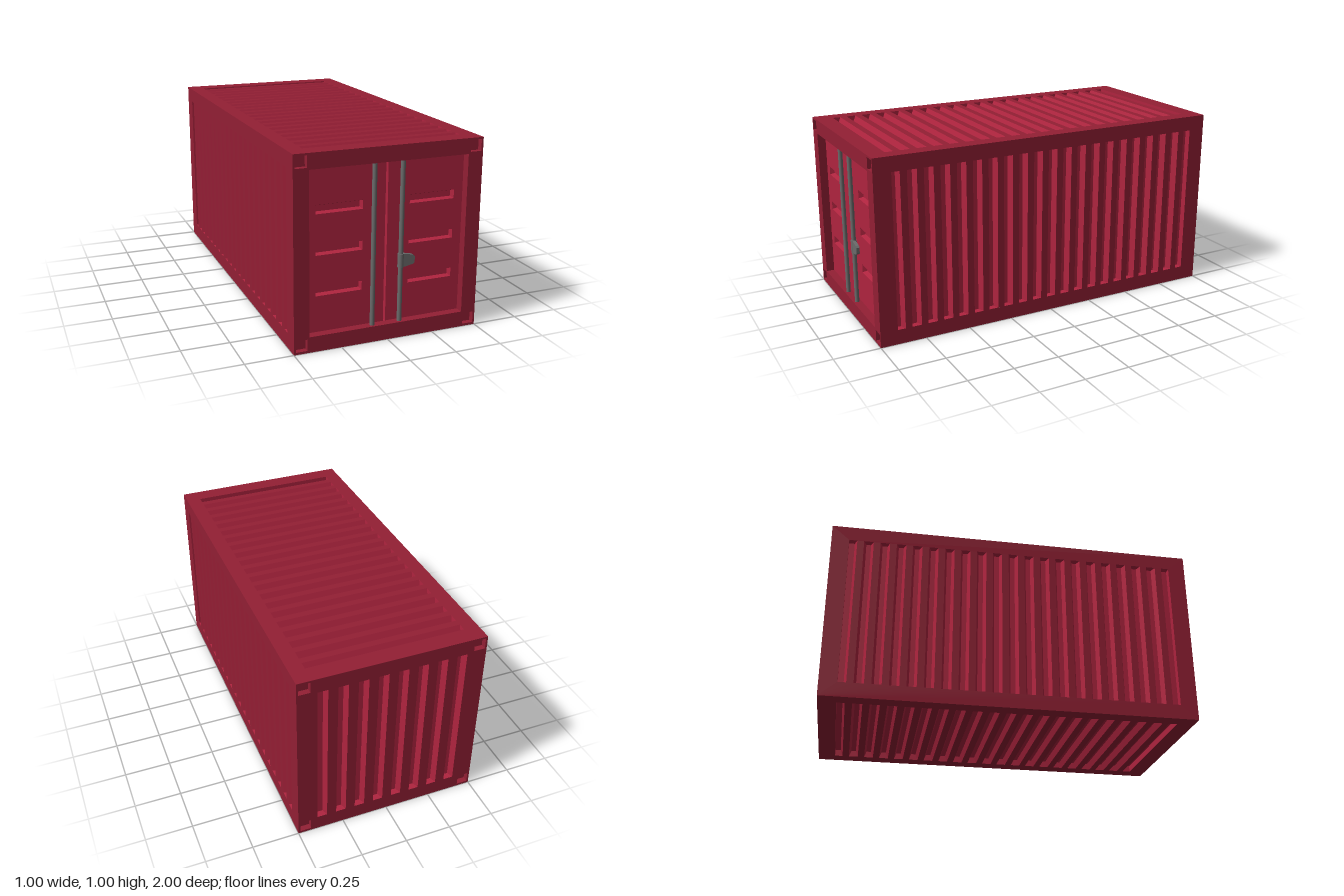
import * as THREE from 'three';
import { mergeGeometries } from 'three/addons/utils/BufferGeometryUtils.js';

const mat = (color) => new THREE.MeshStandardMaterial({ color, flatShading: true });
const FRAME = mat(0x931f34), PANEL = mat(0xb0243f);
const METAL = new THREE.MeshStandardMaterial({ color: 0x6b6b6b });

// Rectangle with the inward slope of each side and a depth
const rect = (x0, y0, x1, y1, depth = 0, slope = [0, 0, 0, 0]) => ({ x0, y0, x1, y1, depth, slope });

// Flat sheet facing +z with rectangular holes
function sheet(r, holes) {
  const corners = (q) => [[q.x0, q.y0], [q.x1, q.y0], [q.x1, q.y1], [q.x0, q.y1]]
    .map(([x, y]) => new THREE.Vector2(x, y));
  const shape = new THREE.Shape(corners(r));
  holes.forEach((h) => shape.holes.push(new THREE.Path(corners(h).reverse())));
  return new THREE.ShapeGeometry(shape);
}

// Four walls and, if wanted, the floor of a recess going in along -z
function recess({ x0, y0, x1, y1, depth, slope: [l, b, r, t] }, floor = true) {
  const a = [[x0, y0, 0], [x1, y0, 0], [x1, y1, 0], [x0, y1, 0]];
  const c = [[x0 + l, y0 + b], [x1 - r, y0 + b], [x1 - r, y1 - t], [x0 + l, y1 - t]]
    .map(([x, y]) => [x, y, -depth]);
  const p = [];
  const quad = (...q) => [0, 1, 2, 0, 2, 3].forEach((i) => p.push(...q[i]));
  for (let i = 0; i < 4; i++) {
    const j = (i + 1) % 4;
    quad(a[i], a[j], c[j], c[i]);
  }
  if (floor) quad(...c);
  const g = new THREE.BufferGeometry();
  g.setAttribute('position', new THREE.Float32BufferAttribute(p, 3));
  g.computeVertexNormals();
  return g;
}

function add(parent, name, geometry, material) {
  const mesh = new THREE.Mesh(geometry, material);
  mesh.name = name;
  parent.add(mesh);
  return mesh;
}

function named(parent, name) {
  const g = new THREE.Group();
  g.name = name;
  parent.add(g);
  return g;
}

// Row of upright trapezoid grooves, cut off square at +-limit
function grooveRow(count, pitch, width, limit) {
  const s = 0.013;
  return Array.from({ length: count }, (_, i) => {
    const x = (i - (count - 1) / 2) * pitch;
    const lo = x - width / 2, hi = x + width / 2;
    return rect(Math.max(lo, -limit), -0.42, Math.min(hi, limit), 0.42, 0.035,
      [lo < -limit ? 0 : s, 0, hi > limit ? 0 : s, 0]);
  });
}

// Corner fitting pockets of an end face
function cornerPockets() {
  const out = [];
  for (const x of [-0.46, 0.46]) for (const y of [-0.458, 0.46])
    out.push(rect(x - 0.03, y - 0.03, x + 0.03, y + 0.03, 0.03));
  return out;
}

export function createModel() {
  const model = new THREE.Group();
  model.name = 'shippingContainer';
  const body = named(model, 'body');
  body.position.y = 0.5;

  // Long walls, roof and floor: the same corrugated face turned about z
  const grooves = grooveRow(21, 0.08875, 0.052, 0.905);
  const longFrame = sheet(rect(-1, -0.5, 1, 0.5), grooves);
  const longGrooves = mergeGeometries(grooves.map((g) => recess(g)));
  ['leftWall', 'roof', 'rightWall', 'floor'].forEach((name, i) => {
    const turn = named(body, name);
    turn.rotation.z = i * Math.PI / 2;
    const face = named(turn, name + 'Face');
    face.rotation.y = Math.PI / 2;
    face.position.x = 0.5;
    add(face, name + 'Frame', longFrame, FRAME);
    add(face, name + 'Grooves', longGrooves, PANEL);
  });

  // Back wall
  const back = named(body, 'backWall');
  back.rotation.y = Math.PI;
  back.position.z = -1;
  const pockets = cornerPockets();
  const pocketGeometry = mergeGeometries(pockets.map((p) => recess(p)));
  const backGrooves = grooveRow(8, 0.105, 0.054, 0.42);
  add(back, 'backFrame', sheet(rect(-0.5, -0.5, 0.5, 0.5), [...pockets, ...backGrooves]), FRAME);
  add(back, 'backGrooves', mergeGeometries(backGrooves.map((g) => recess(g))), PANEL);
  add(back, 'backCornerPockets', pocketGeometry, FRAME);

  // Front frame around the recessed doors
  const front = named(body, 'front');
  front.position.z = 1;
  const opening = rect(-0.42, -0.418, 0.42, 0.42, 0.045);
  add(front, 'frontFrame', sheet(rect(-0.5, -0.5, 0.5, 0.5), [...pockets, opening]), FRAME);
  add(front, 'doorSurround', recess(opening, false), FRAME);
  add(front, 'frontCornerPockets', pocketGeometry, FRAME);

  // Doors: three pressed slots each, parted by a narrow seam
  const doors = named(front, 'doors');
  doors.position.z = -opening.depth;
  const slots = [];
  for (const x of [-0.249, 0.249]) for (const y of [-0.207, 0.002, 0.21])
    slots.push(rect(x - 0.123, y - 0.023, x + 0.123, y + 0.023, 0.025, [0.007, 0.007, 0.007, 0.009]));
  for (const side of [-1, 1]) {
    const leaf = side < 0 ? rect(-0.42, -0.418, -0.006, 0.42) : rect(0.006, -0.418, 0.42, 0.42);
    const own = slots.filter((s) => s.x0 * side > 0);
    add(doors, side < 0 ? 'rightDoor' : 'leftDoor',
      mergeGeometries([sheet(leaf, own).toNonIndexed(), ...own.map((s) => recess(s))]
        .map((g) => { g.deleteAttribute('uv'); return g; })), PANEL);
  }
  add(doors, 'doorSeam', recess(rect(-0.006, -0.418, 0.006, 0.42, 0.025)), PANEL);

  // Lock rods
  for (const x of [-0.077, 0.073]) {
    const rod = add(front, 'lockRod', new THREE.CylinderGeometry(0.012, 0.012, 0.838, 16), METAL);
    rod.position.set(x, 0.001, -0.022);
  }

  // Handle: a collar on the rod and a tapering grip with a blunt tip
  const handle = named(front, 'handle');
  handle.position.set(0.073, -0.094, -0.022);
  const collar = add(handle, 'handleCollar', new THREE.CylinderGeometry(0.016, 0.016, 0.072, 16), METAL);
  collar.position.y = -0.001;
  const grip = new THREE.Shape([[0, -0.034], [0.017, -0.034], [0.064, -0.025], [0.073, -0.017],
    [0.073, 0.015], [0.064, 0.024], [0.017, 0.034], [0, 0.034]].map(([x, y]) => new THREE.Vector2(x, y)));
  const gripMesh = add(handle, 'handleGrip',
    new THREE.ExtrudeGeometry(grip, { depth: 0.018, bevelEnabled: false }), METAL);
  gripMesh.position.z = -0.007;

  return model;
}
